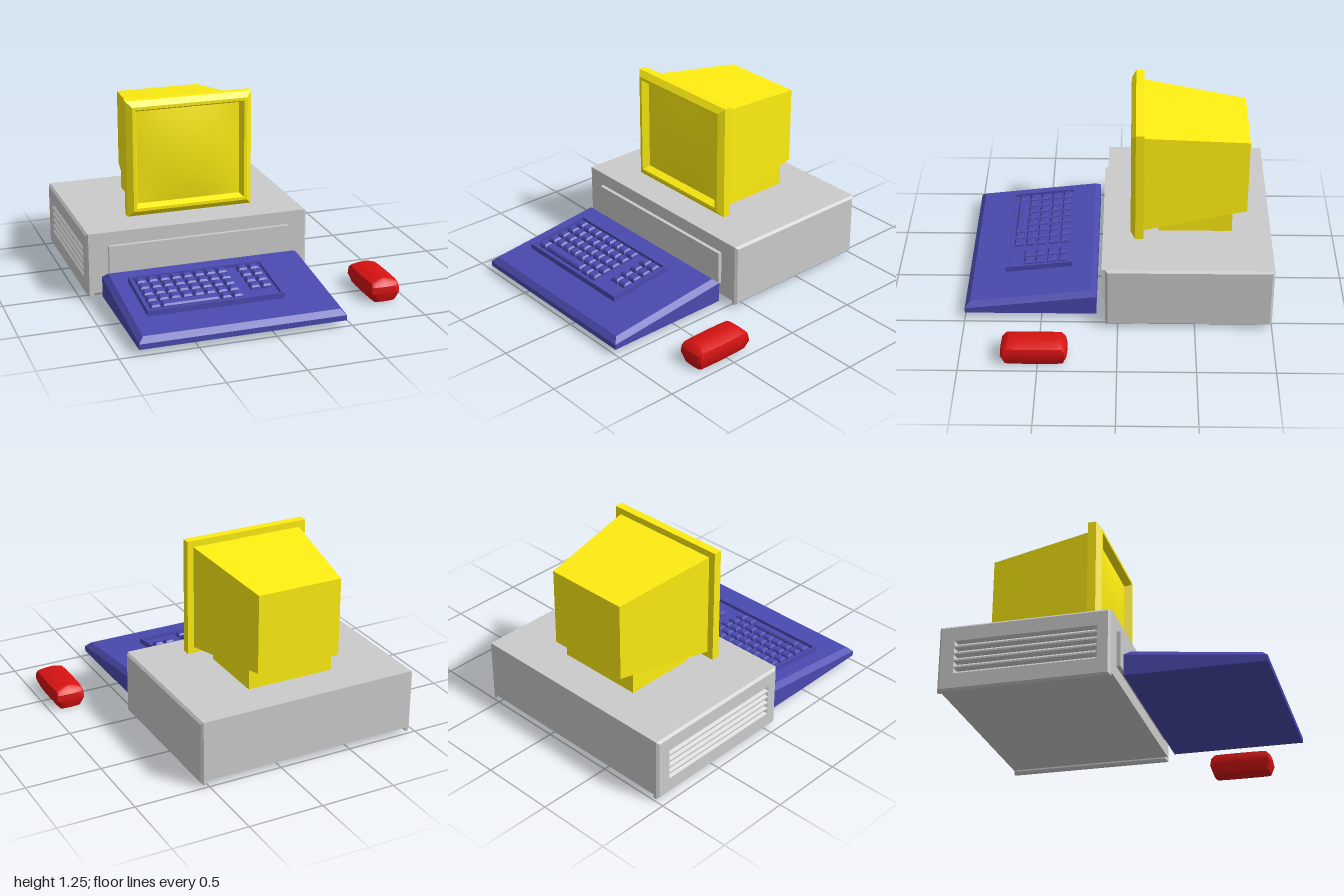
import * as THREE from 'three';
import { toCreasedNormals } from 'three/addons/utils/BufferGeometryUtils.js';

const material = (color) => new THREE.MeshStandardMaterial({ color });
const grey = material(0xcccccc);
const yellow = material(0xffee11);
const blue = material(0x4a4ab0);
const red = material(0xd81212);

// Closed solid through rings of equal point count (counter-clockwise seen from the last ring)
function loft(rings) {
  const pos = [];
  const tri = (...pts) => pts.forEach((p) => pos.push(...p));
  const n = rings[0].length;
  for (let i = 0; i < rings.length - 1; i++) {
    for (let j = 0; j < n; j++) {
      const k = (j + 1) % n;
      const [a, b, c, d] = [rings[i][j], rings[i][k], rings[i + 1][k], rings[i + 1][j]];
      tri(a, b, c);
      tri(a, c, d);
    }
  }
  const first = rings[0], last = rings[rings.length - 1];
  for (let j = 1; j < n - 1; j++) {
    tri(first[0], first[j + 1], first[j]);
    tri(last[0], last[j], last[j + 1]);
  }
  const geo = new THREE.BufferGeometry();
  geo.setAttribute('position', new THREE.Float32BufferAttribute(pos, 3));
  geo.computeVertexNormals();
  return geo;
}

// Rectangle facing up, with its own back and front heights
const rectY = (x0, x1, z0, z1, yBack, yFront) =>
  [[x1, yFront, z1], [x1, yBack, z0], [x0, yBack, z0], [x0, yFront, z1]];
// Rectangle facing the front
const rectZ = (x0, x1, y0, y1, z) => [[x1, y0, z], [x1, y1, z], [x0, y1, z], [x0, y0, z]];

function add(parent, name, geo, mat) {
  const mesh = new THREE.Mesh(geo, mat);
  mesh.name = name;
  parent.add(mesh);
  return mesh;
}

function box(parent, name, mat, x0, x1, y0, y1, z0, z1) {
  const mesh = add(parent, name, new THREE.BoxGeometry(x1 - x0, y1 - y0, z1 - z0), mat);
  mesh.position.set((x0 + x1) / 2, (y0 + y1) / 2, (z0 + z1) / 2);
}

function group(parent, name) {
  const g = new THREE.Group();
  g.name = name;
  parent.add(g);
  return g;
}

const rectPath = (path, a0, a1, b0, b1) =>
  path.moveTo(a0, b0).lineTo(a1, b0).lineTo(a1, b1).lineTo(a0, b1).closePath();

// Bevelled side plate whose lower edge forms a foot rail; one side is slotted
function sidePlate(vented) {
  const bevel = 0.015;
  const shape = new THREE.Shape();
  rectPath(shape, -1 + bevel, 0.08 - bevel, 0.02 + bevel, 0.45 - bevel);
  if (vented) {
    for (let i = 0; i < 5; i++) {
      const hole = new THREE.Path();
      const y = 0.13 + i * 0.045;
      rectPath(hole, -0.9, 0, y, y + 0.035);
      shape.holes.push(hole);
    }
  }
  return new THREE.ExtrudeGeometry(shape, {
    depth: 0.02, bevelEnabled: true, bevelSize: bevel, bevelThickness: bevel, bevelSegments: 1,
  }).rotateY(-Math.PI / 2);
}

function buildCase(root) {
  const g = group(root, 'computerCase');
  box(g, 'caseBody', grey, -0.935, 0.53, 0.045, 0.45, -1, 0.08);
  box(g, 'frontPanel', grey, -0.815, 0.415, 0.13, 0.36, 0.07, 0.105);
  add(g, 'ventedSidePlate', sidePlate(true), grey).position.x = -0.925;
  add(g, 'plainSidePlate', sidePlate(false), grey).position.x = 0.54;
}

function buildMonitor(root) {
  const g = group(root, 'monitor');
  box(g, 'pedestal', yellow, -0.5, 0.095, 0.45, 0.6, -0.745, -0.265);
  add(g, 'monitorHousing', loft([
    rectZ(-0.49, 0.085, 0.6, 1.12, -0.84),
    rectZ(-0.585, 0.182, 0.51, 1.207, -0.16),
  ]), yellow);

  // Bezel: chamfered outside, flat rim, sloping inwards to the screen
  const frame = (inset, z) => rectZ(-0.63 + inset, 0.225 - inset, 0.47 + inset, 1.25 - inset, z);
  add(g, 'bezel', loft([
    frame(0, -0.165), frame(0, -0.11), frame(0.037, -0.08),
    frame(0.057, -0.08), frame(0.077, -0.13),
  ]), yellow);

  // Gently domed screen
  const w = 0.701, h = 0.626;
  const screen = new THREE.PlaneGeometry(w, h, 14, 14);
  const p = screen.attributes.position;
  for (let i = 0; i < p.count; i++) {
    const u = (2 * p.getX(i)) / w, v = (2 * p.getY(i)) / h;
    p.setZ(i, 0.03 * (1 - u * u) * (1 - v * v));
  }
  screen.computeVertexNormals();
  add(g, 'screen', screen, yellow).position.set(-0.2025, 0.86, -0.128);
}

function buildKeyboard(root) {
  const g = group(root, 'keyboard');
  const [x0, x1, z0, z1, e] = [-0.875, 0.463, 0.14, 1, 0.033];
  add(g, 'keyboardBody', loft([
    rectY(x0, x1, z0, z1, 0.04, 0.04),
    rectY(x0, x1, z0, z1, 0.175, 0.075),
    rectY(x0 + e, x1 - e, z0 + e, z1 - e, 0.205, 0.11),
  ]), blue);

  // Rectangle parallel to the sloping top, raised by h
  const top = (z) => 0.11 + (0.967 - z) * 0.1197;
  const slope = (a0, a1, b0, b1, inset, h) => rectY(a0 + inset, a1 - inset, b0 + inset, b1 - inset,
    top(b0 + inset) + h, top(b1 - inset) + h);

  const tray = [-0.75, 0.143, 0.31, 0.755];
  add(g, 'keyTray', loft([
    slope(...tray, 0, -0.01), slope(...tray, 0, 0.037),
    slope(...tray, 0.016, 0.037), slope(...tray, 0.016, 0.014),
  ]), blue);

  const key = (name, x, z, w = 0.063) => {
    const r = [x, x + w, z, z + 0.063];
    add(g, name, loft([slope(...r, 0, 0.012), slope(...r, 0.002, 0.03), slope(...r, 0.011, 0.041)]), blue);
  };
  for (let row = 0; row < 5; row++) {
    const z = 0.338 + row * 0.078;
    for (let col = 0; col < 8; col++) {
      if (row < 4 || col === 0 || col > 5) key('key', -0.714 + col * 0.0768, z);
    }
    if (row < 4) [-0.037, 0.041].forEach((x) => key('padKey', x, z));
    else key('spaceBar', -0.638, z, 0.367);
  }
}

function buildMouse(root) {
  // Quarter outline in unit half-widths, mirrored into a full ring
  const q = [[1, 0], [0.98, 0.6], [0.93, 0.93], [0.7, 0.985]];
  const flipZ = q.slice(1).reverse();
  const outline = [
    ...q.map(([x, z]) => [x, -z]), [0, -1], ...flipZ.map(([x, z]) => [-x, -z]),
    ...q.map(([x, z]) => [-x, z]), [0, 1], ...flipZ.map(([x, z]) => [x, z]),
  ];
  // Height, half width, half length
  const levels = [
    [0, 0.077, 0.193], [0.06, 0.1025, 0.213], [0.105, 0.099, 0.206],
    [0.125, 0.094, 0.188], [0.142, 0.05, 0.166], [0.149, 0.008, 0.155],
  ];
  const geo = loft(levels.map(([y, w, d]) => outline.map(([x, z]) => [x * w, y, z * d])));
  add(root, 'mouse', toCreasedNormals(geo, 0.55), red).position.set(0.853, 0, 0.525);
}

export function createModel() {
  const root = new THREE.Group();
  root.name = 'desktopComputer';
  buildCase(root);
  buildMonitor(root);
  buildKeyboard(root);
  buildMouse(root);
  return root;
}
